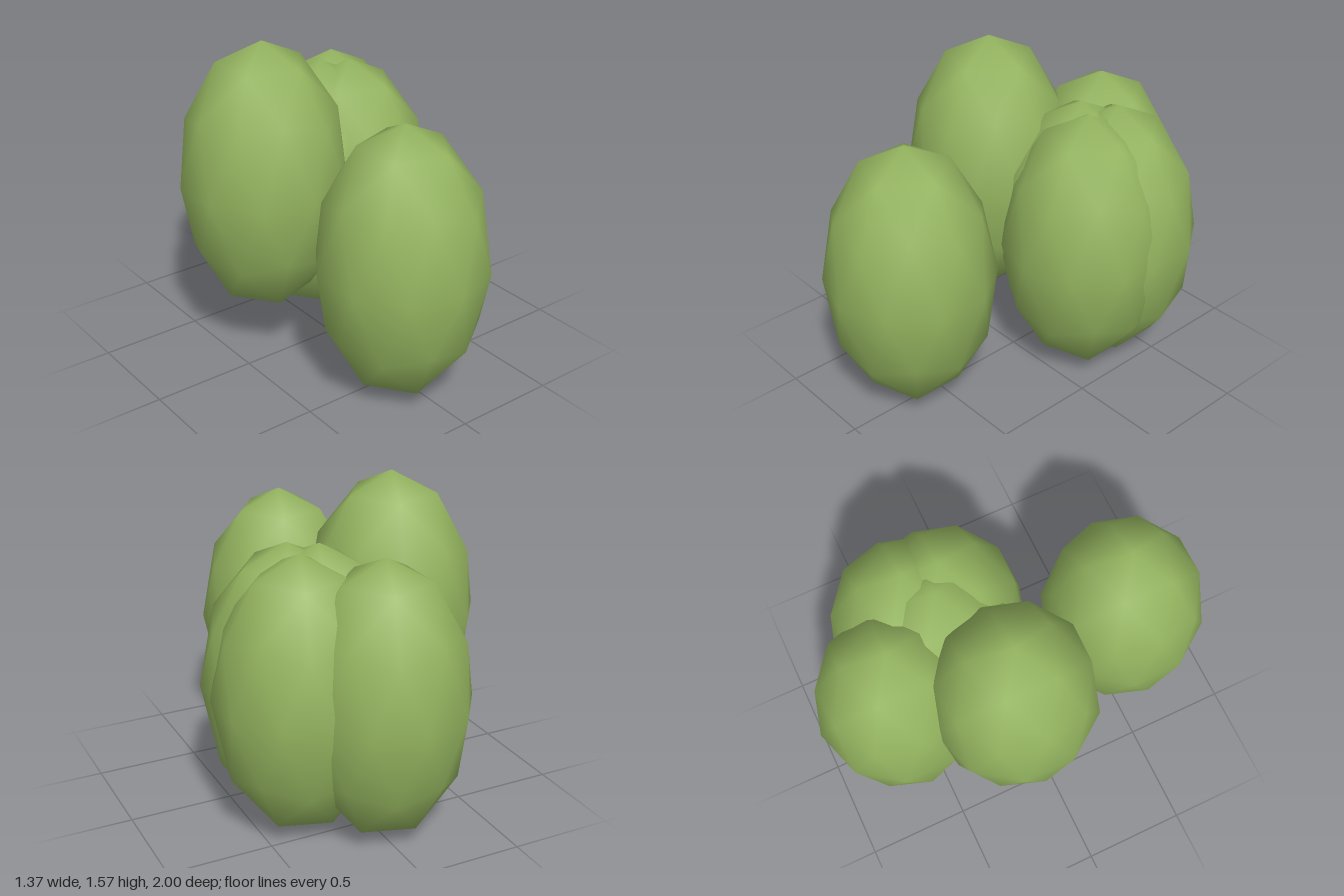
import * as THREE from 'three';

// Faceted round foliage clumps, stretched upright
const WIDTH = 0.405;
const HEIGHT = 0.67;

// Clump centres: x, y, z
const CLUMPS = {
  frontClump: [-0.05, 0.67, 0.595],
  tallRightClump: [-0.303, 0.905, -0.115],
  backClump: [-0.015, 0.67, -0.595],
  leftBackClump: [0.297, 0.67, -0.385],
  leftFrontClump: [0.278, 0.67, -0.213],
  innerClump: [0.155, 0.67, -0.288],
};

export function createModel() {
  const model = new THREE.Group();
  model.name = 'foliage';

  const leafGreen = new THREE.MeshStandardMaterial({ color: 0x94b45f });
  leafGreen.name = 'leafGreen';

  // Icosphere turned so that a corner points straight up, then stretched
  const clump = new THREE.IcosahedronGeometry(1, 1);
  const golden = (1 + Math.sqrt(5)) / 2;
  clump.rotateZ(-Math.atan(1 / golden));
  clump.scale(WIDTH, HEIGHT, WIDTH);

  for (const [name, centre] of Object.entries(CLUMPS)) {
    const mesh = new THREE.Mesh(clump, leafGreen);
    mesh.name = name;
    mesh.position.set(...centre);
    model.add(mesh);
  }
  return model;
}
